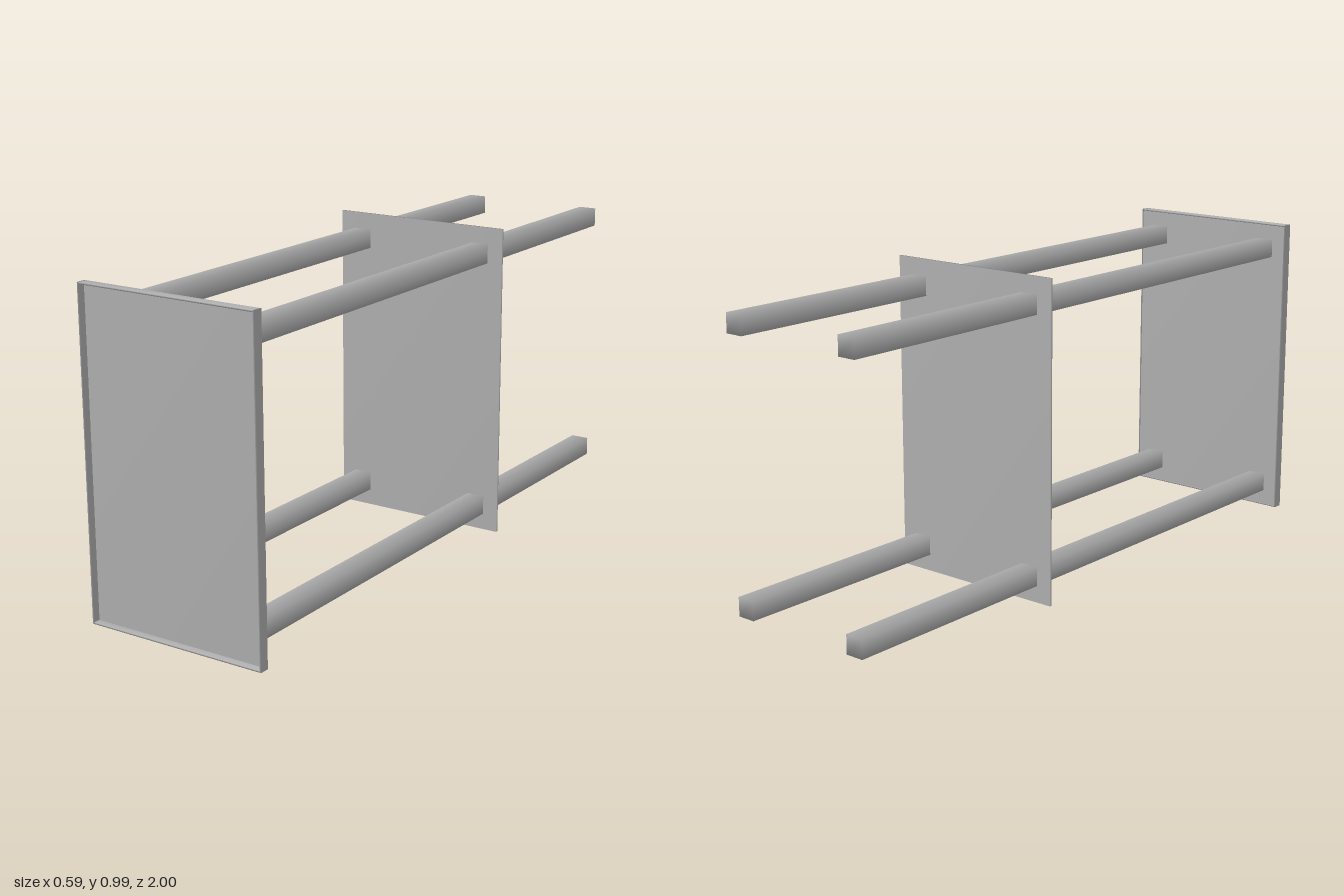
import * as THREE from 'three';
import { mergeVertices } from 'three/addons/utils/BufferGeometryUtils.js';

const W = 0.592, H = 0.988;   // board width and height
const T = 0.008;              // board thickness
const EDGE = 0.005;           // edge strip thickness
const RIM = 0.03;             // edge strip depth
const LEG = 0.059;            // leg section

// Box with shared corners, so its shading is smooth
function softBox(w, h, d) {
  const g = new THREE.BoxGeometry(w, h, d);
  g.deleteAttribute('normal');
  g.deleteAttribute('uv');
  const merged = mergeVertices(g);
  merged.computeVertexNormals();
  return merged;
}

export function createModel() {
  const grey = new THREE.MeshStandardMaterial({ color: 0xb0b0b0 });
  grey.name = 'grey';
  const model = new THREE.Group();
  model.name = 'sideTable';

  const add = (parent, name, w, h, d, x, y, z) => {
    const mesh = new THREE.Mesh(softBox(w, h, d), grey);
    mesh.name = name;
    mesh.position.set(x, y, z);
    parent.add(mesh);
  };

  // Table top: thin board with a raised rim towards the front
  const top = new THREE.Group();
  top.name = 'tableTop';
  model.add(top);
  add(top, 'topBoard', W - 2 * EDGE, H - 2 * EDGE, T, 0, H / 2, 1 - RIM + T / 2);
  for (const s of [-1, 1]) {
    add(top, s > 0 ? 'leftRim' : 'rightRim', EDGE, H, RIM, s * (W - EDGE) / 2, H / 2, 1 - RIM / 2);
    add(top, s > 0 ? 'upperRim' : 'lowerRim', W - 2 * EDGE, EDGE, RIM, 0, H / 2 + s * (H - EDGE) / 2, 1 - RIM / 2);
  }

  // Lower shelf, pierced by the legs
  add(model, 'shelf', W, H, T, 0, H / 2, -0.265);

  // Four square legs running to the back
  const legLength = 2 - RIM;
  for (const sx of [-1, 1]) for (const sy of [-1, 1]) {
    const name = (sy > 0 ? 'upper' : 'lower') + (sx > 0 ? 'Left' : 'Right') + 'Leg';
    add(model, name, LEG, LEG, legLength, sx * 0.217, H / 2 + sy * 0.412, -1 + legLength / 2);
  }
  return model;
}
